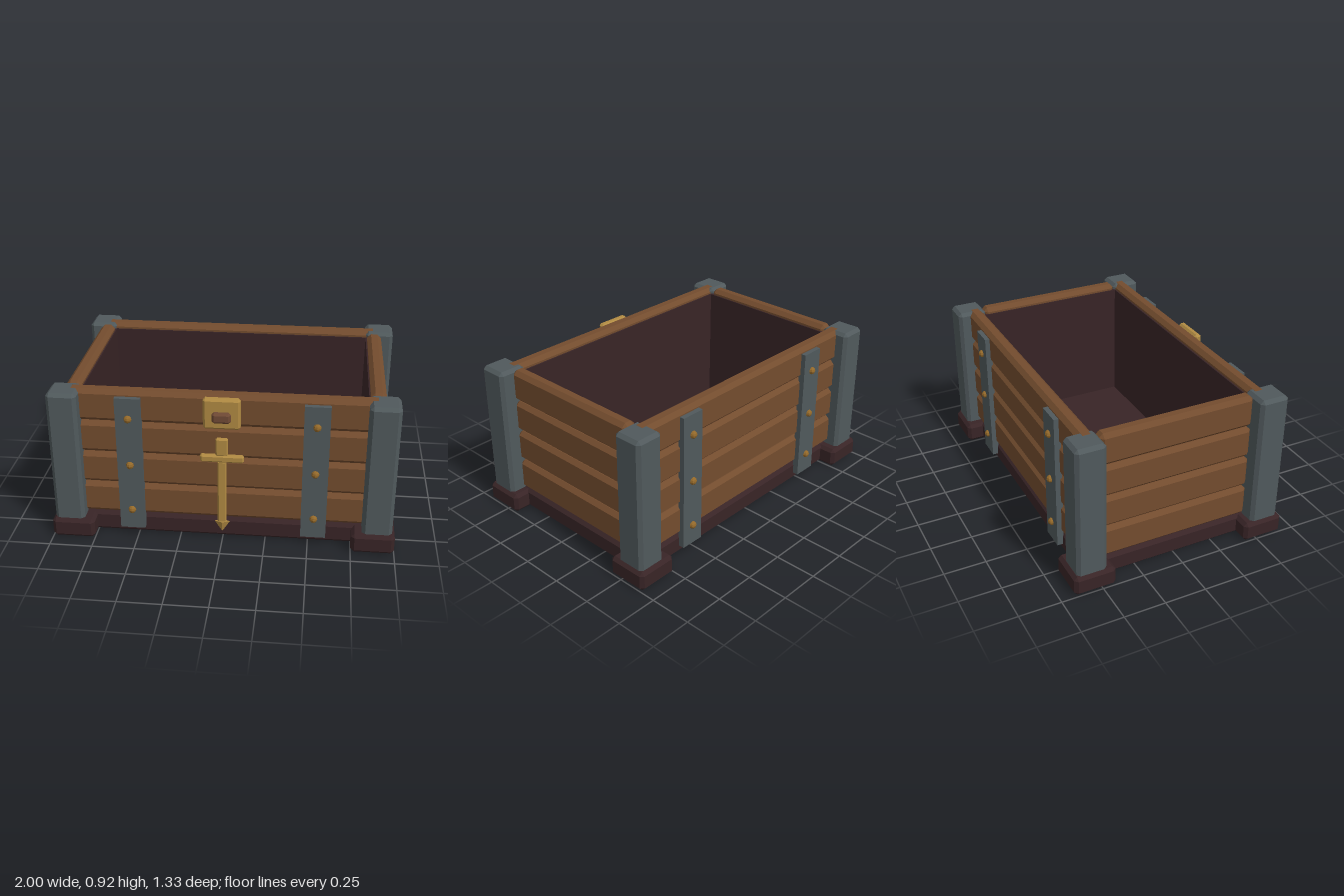
import * as THREE from 'three';
import { ConvexGeometry } from 'three/addons/geometries/ConvexGeometry.js';

const mat = (name, color) => {
  const m = new THREE.MeshStandardMaterial({ color });
  m.name = name;
  return m;
};

// box with every edge chamfered by b
function chamferBox(w, h, d, b) {
  const pts = [];
  for (const x of [-w / 2, w / 2]) for (const y of [-h / 2, h / 2]) for (const z of [-d / 2, d / 2]) {
    const ix = x - Math.sign(x) * b, iy = y - Math.sign(y) * b, iz = z - Math.sign(z) * b;
    pts.push(new THREE.Vector3(x, iy, iz), new THREE.Vector3(ix, y, iz), new THREE.Vector3(ix, iy, z));
  }
  return new ConvexGeometry(pts);
}

export function createModel() {
  const wood = mat('wood', 0x734c2e);
  const iron = mat('iron', 0x50595c);
  const dark = mat('darkWood', 0x382426);
  const gold = mat('gold', 0xb08a42);
  const bronze = mat('bronze', 0x94692a);
  const copper = mat('copper', 0x704a35);
  bronze.flatShading = true;

  const chest = new THREE.Group();
  chest.name = 'chest';

  const add = (name, geometry, material, x, y, z, parent = chest) => {
    const mesh = new THREE.Mesh(geometry, material);
    mesh.name = name;
    mesh.position.set(x, y, z);
    parent.add(mesh);
    return mesh;
  };
  // part given by its min and max corners, chamfered when b > 0
  const block = (name, material, [x0, x1], [y0, y1], [z0, z1], b = 0, parent = chest) => {
    const size = [x1 - x0, y1 - y0, z1 - z0];
    const geo = b ? chamferBox(...size, b) : new THREE.BoxGeometry(...size);
    return add(name, geo, material, (x0 + x1) / 2, (y0 + y1) / 2, (z0 + z1) / 2, parent);
  };

  // base slab and inner lining
  block('base', dark, [-0.9, 0.9], [0, 0.125], [-0.565, 0.565], 0.02);
  for (const s of [-1, 1]) {
    const long = block('liningLong', dark, [-0.84, 0.84], [0.11, 0.885], [0.47, 0.5]);
    long.position.z *= s;
    const short = block('liningShort', dark, [0.81, 0.84], [0.11, 0.885], [-0.47, 0.47]);
    short.position.x *= s;
  }

  // four rows of planks on each wall
  const longPlank = chamferBox(1.76, 0.194, 0.092, 0.024);
  const sidePlank = chamferBox(0.088, 0.194, 0.94, 0.024);
  for (let row = 0; row < 4; row++) {
    const y = 0.227 + row * 0.199;
    for (const s of [-1, 1]) {
      add('longPlank', longPlank, wood, 0, y, s * 0.525);
      add('sidePlank', sidePlank, wood, s * 0.862, y, 0);
    }
  }

  // corner posts on feet
  const post = chamferBox(0.174, 0.82, 0.18, 0.02);
  const foot = chamferBox(0.25, 0.12, 0.25, 0.02);
  for (const sx of [-1, 1]) for (const sz of [-1, 1]) {
    add('cornerPost', post, iron, sx * 0.896, 0.51, sz * 0.555);
    add('foot', foot, dark, sx * 0.875, 0.06, sz * 0.542);
  }

  // iron straps with rivets, front and back
  const strap = new THREE.BoxGeometry(0.146, 0.84, 0.04);
  const rivet = new THREE.SphereGeometry(0.023, 8, 6);
  for (const sx of [-1, 1]) for (const sz of [-1, 1]) {
    add('strap', strap, iron, sx * 0.53, 0.47, sz * 0.58);
    for (const y of [0.175, 0.47, 0.765]) add('rivet', rivet, bronze, sx * 0.53, y, sz * 0.6);
  }

  // lock plate with its bolt
  const lock = new THREE.Group();
  lock.name = 'lock';
  chest.add(lock);
  block('lockPlate', gold, [-0.105, 0.105], [0.73, 0.915], [0.565, 0.612], 0.013, lock);
  block('lockBolt', copper, [-0.054, 0.054], [0.775, 0.84], [0.59, 0.635], 0.014, lock);

  // sword-shaped ornament
  const sword = new THREE.Group();
  sword.name = 'swordOrnament';
  chest.add(sword);
  block('grip', gold, [-0.035, 0.035], [0.56, 0.67], [0.58, 0.61], 0.008, sword);
  block('crossguard', gold, [-0.125, 0.125], [0.52, 0.566], [0.578, 0.612], 0.01, sword);
  block('blade', gold, [-0.026, 0.026], [0.12, 0.525], [0.582, 0.606], 0.008, sword);
  const tip = new THREE.ConeGeometry(0.045, 0.07, 4).toNonIndexed();
  tip.rotateX(Math.PI);
  tip.scale(1, 1, 0.45);
  tip.computeVertexNormals();
  add('bladeTip', tip, gold, 0, 0.09, 0.594, sword);

  return chest;
}
